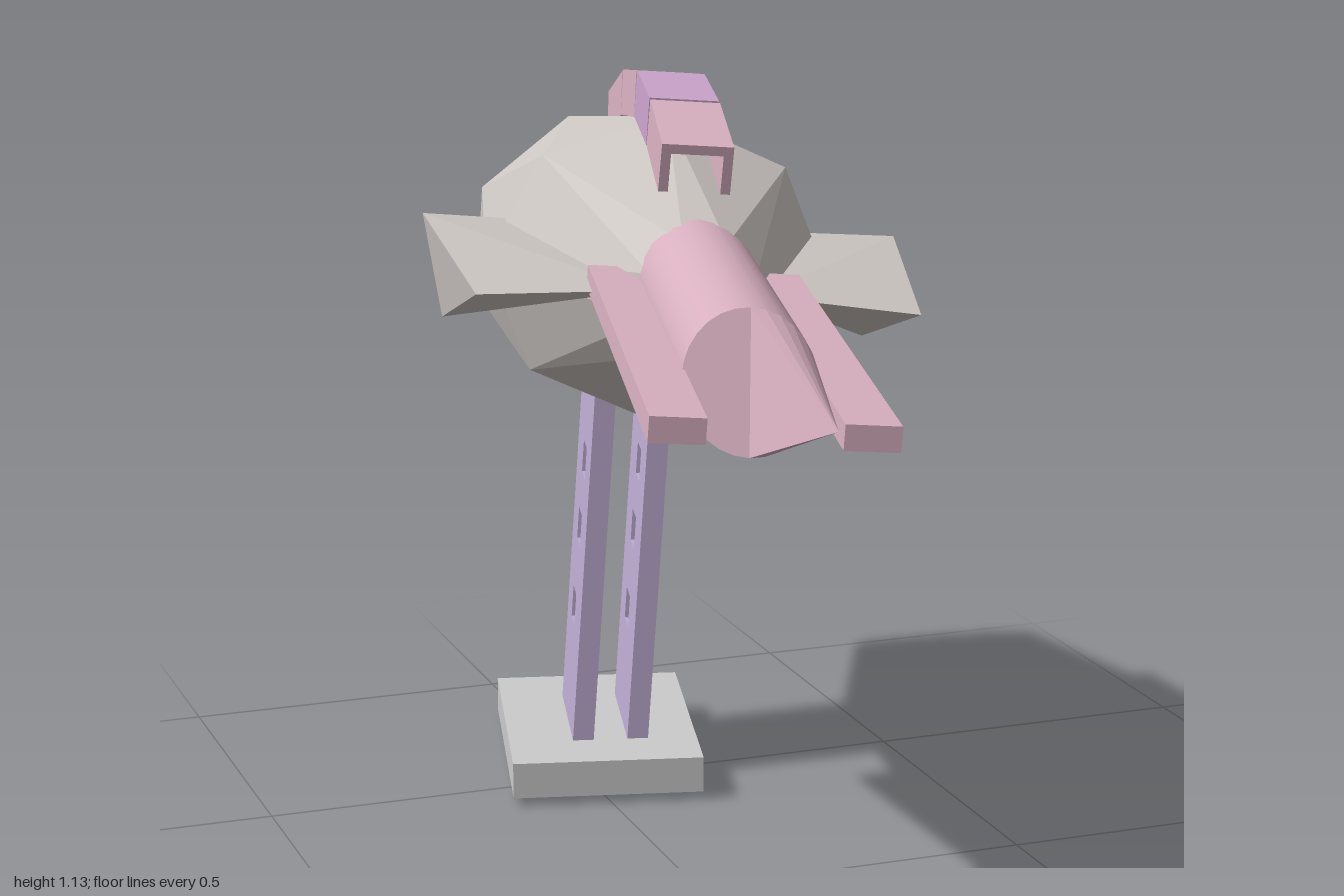
import * as THREE from 'three';

const PIVOT_Y = 0.9;
const YAW = -0.244;
const mat = (color) => new THREE.MeshStandardMaterial({ color, flatShading: true, side: THREE.DoubleSide });
const grey = mat(0xcccccc), hullGrey = mat(0xccc6c2), pink = mat(0xd8b0c0);
const lilac = mat(0xbfaed4), mauve = mat(0xcca4cc), rose = mat(0xcc7890);

function add(parent, name, geometry, material) {
  const mesh = new THREE.Mesh(geometry, material);
  mesh.name = name;
  parent.add(mesh);
  return mesh;
}

// Flat-faced geometry from a list of corner points, three per face
function faces(points) {
  const g = new THREE.BufferGeometry().setFromPoints(points);
  g.computeVertexNormals();
  return g;
}

const V = (x, y, z) => new THREE.Vector3(x, y - PIVOT_Y, z);

// Faceted hull: octagonal rings, every second one turned by half a step
function hullGeometry() {
  const n = 8;
  const rings = [ // z, centre x, centre y, radius x, radius y
    [-0.99, -0.025, 0.755, 0.125, 0.12],
    [-0.645, -0.022, 0.803, 0.232, 0.214],
    [-0.25, -0.004, 0.848, 0.245, 0.22],
    [0.25, 0, 0.908, 0.075, 0.08],
  ].map(([z, cx, cy, rx, ry], i) => (j) => {
    const a = ((j + (i % 2) / 2) * 2 * Math.PI) / n;
    return V(cx + rx * Math.sin(a), cy + ry * Math.cos(a), z);
  });
  const pts = [];
  for (let j = 0; j < n; j++) {
    for (let i = 0; i < rings.length - 1; i++) {
      const p = rings[i], q = rings[i + 1];
      if (i % 2 === 0) pts.push(p(j), q(j), p(j + 1), p(j + 1), q(j), q(j + 1));
      else pts.push(p(j), q(j), q(j + 1), p(j), q(j + 1), p(j + 1));
    }
    pts.push(V(-0.025, 0.755, -0.99), rings[0](j), rings[0](j + 1));
    pts.push(V(0, 0.908, 0.25), rings[3](j + 1), rings[3](j));
  }
  return faces(pts);
}

// Wedge fin with a flat top and a keel that drops toward the rear
function finGeometry() {
  const a = V(0.075, 0.912, 0.23), b = V(0.29, 0.9, 0.245), c = V(0.34, 0.905, -0.29);
  const d = V(0.2, 0.905, -0.28), e = V(0.305, 0.757, -0.285);
  return faces([a, b, c, a, c, d, b, e, c, a, e, b, a, d, e, d, c, e]);
}

// Handle plate with three square windows
function plateGeometry(thickness) {
  const rect = (Type, x0, x1, y0, y1) => new Type([
    [x0, y0], [x1, y0], [x1, y1], [x0, y1],
  ].map(([x, y]) => new THREE.Vector2(x, y - PIVOT_Y)));
  const shape = rect(THREE.Shape, -0.7, -0.475, 0, 0.66);
  for (const [z, y] of [[-0.6, 0.24], [-0.59, 0.37], [-0.58, 0.48]]) {
    shape.holes.push(rect(THREE.Path, z - 0.027, z + 0.027, y - 0.025, y + 0.025));
  }
  const g = new THREE.ExtrudeGeometry(shape, { depth: thickness, bevelEnabled: false });
  return g.translate(0, 0, -thickness / 2).rotateY(-Math.PI / 2);
}

// Inverted U channel running along z
function channelGeometry(length) {
  const w = 0.048, h = -0.066, t = 0.013;
  const shape = new THREE.Shape([
    [-w, 0], [-w, h], [t - w, h], [t - w, -t], [w - t, -t], [w - t, h], [w, h], [w, 0],
  ].map(([x, y]) => new THREE.Vector2(x, y)));
  return new THREE.ExtrudeGeometry(shape, { depth: length, bevelEnabled: false });
}

export function createModel() {
  const model = new THREE.Group();
  model.name = 'model';
  const craft = new THREE.Group();
  craft.name = 'craft';
  craft.position.set(-0.025, PIVOT_Y, 0);
  craft.rotation.set(0, YAW, -0.07, 'YXZ');
  model.add(craft);

  add(craft, 'hull', hullGeometry(), hullGrey);

  // Barrel with a slanted end
  const r = 0.08, barrelY = 0.917, end = 0.76, slant = 0.04;
  const barrelGeo = new THREE.CylinderGeometry(r, r, end - 0.1, 28).rotateX(Math.PI / 2);
  const pos = barrelGeo.attributes.position;
  for (let i = 0; i < pos.count; i++) {
    if (pos.getZ(i) > 0) pos.setZ(i, pos.getZ(i) - (slant * pos.getY(i)) / r);
  }
  barrelGeo.computeVertexNormals();
  const smoothPink = new THREE.MeshStandardMaterial({ color: 0xd8b0c0 });
  add(craft, 'barrel', barrelGeo, smoothPink).position.set(0, barrelY - PIVOT_Y, (end + 0.1) / 2);

  // Half-cone point on one side of the barrel end
  const apex = V(0.07, barrelY, 0.985);
  const rim = (k) => {
    const a = (k * Math.PI) / 14;
    return V(r * Math.sin(a), barrelY + r * Math.cos(a), end - slant * Math.cos(a));
  };
  const tip = [rim(0), rim(14), apex];
  for (let k = 0; k < 14; k++) tip.push(rim(k), apex, rim(k + 1));
  add(craft, 'barrelTip', faces(tip), pink);

  // Mirrored fins, rails and rear rods
  for (const side of [1, -1]) {
    const name = side > 0 ? 'left' : 'right';
    add(craft, name + 'Fin', finGeometry(), hullGrey).scale.x = side;

    const rail = add(craft, name + 'Rail', new THREE.BoxGeometry(0.064, 0.03, 0.84), pink);
    rail.position.set(side * 0.108, 0.912 - PIVOT_Y, 0.57);

    const rod = add(craft, name + 'Rod', new THREE.BoxGeometry(0.024, 0.024, 0.46), rose);
    rod.position.set(side * 0.287, 0.822 - PIVOT_Y, -0.41);
    rod.rotation.x = -0.13;

    const plate = add(craft, name + 'HandlePlate', plateGeometry(0.032), lilac);
    plate.position.x = side * 0.042 - 0.002;
  }

  // Row of channel segments along the spine
  const spine = [[0.115, 1.082], [-0.08, 1.115], [-0.28, 1.126], [-0.485, 1.098], [-0.69, 1.035]];
  const tints = [pink, mauve, pink, pink];
  for (let i = 0; i < 4; i++) {
    const [z1, y1] = spine[i], [z0, y0] = spine[i + 1];
    const length = Math.hypot(z1 - z0, y1 - y0) - 0.012;
    const seg = add(craft, 'spineSegment' + (i + 1), channelGeometry(length), tints[i]);
    seg.position.copy(V(0, y0, z0));
    seg.rotation.x = -Math.atan2(y1 - y0, z1 - z0);
  }

  // Level base slab
  const base = add(model, 'base', new THREE.BoxGeometry(0.29, 0.055, 0.425), grey);
  base.position.set(0.047, 0.038, -0.587);
  base.rotation.y = YAW;

  return model;
}
